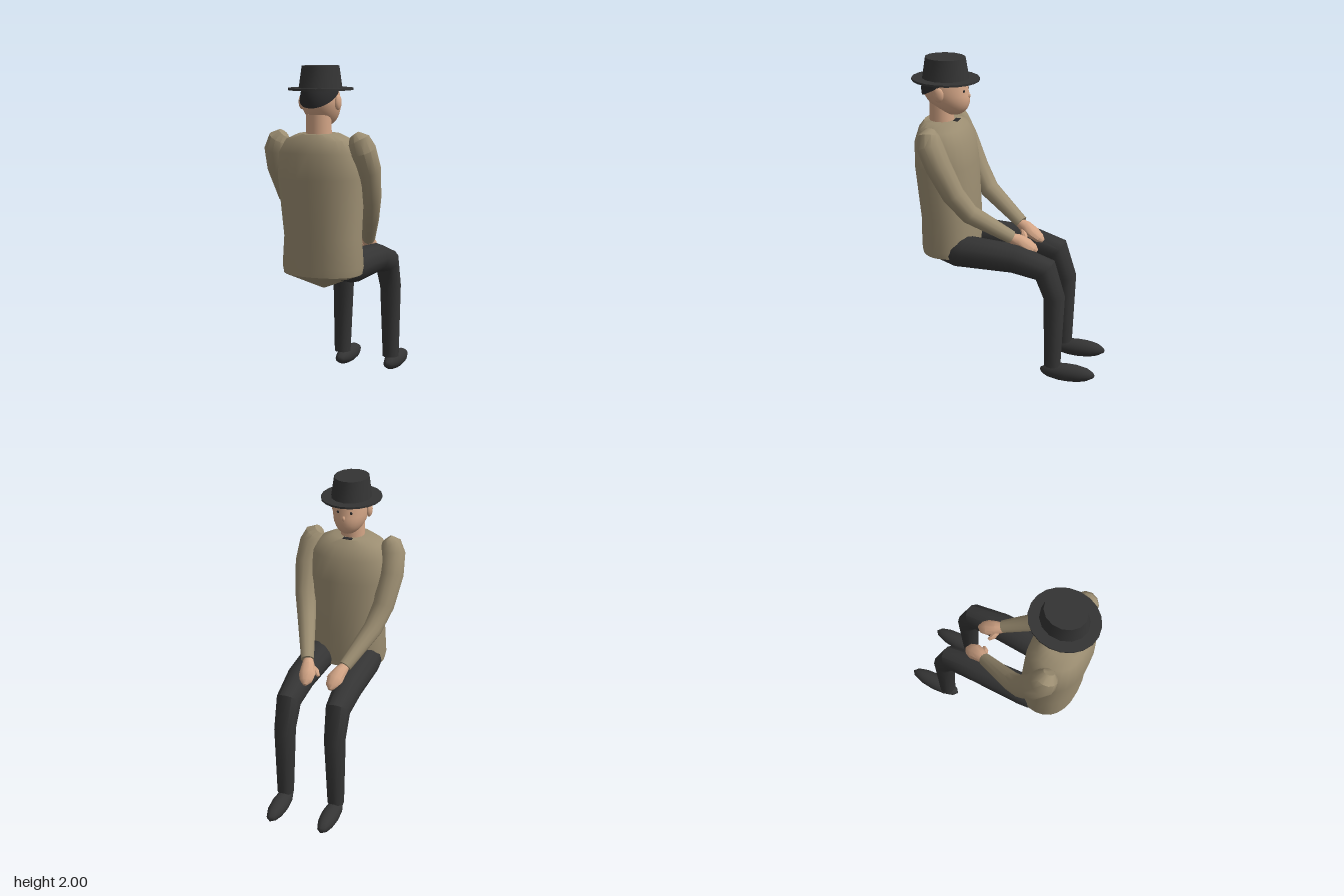
import * as THREE from 'three';
import { toCreasedNormals } from 'three/addons/utils/BufferGeometryUtils.js';

const material = (name, color) => {
  const m = new THREE.MeshStandardMaterial({ color });
  m.name = name;
  return m;
};

// Closed skin over elliptical sections [x, y, z, radiusU, radiusV] along a path
function loft(sections, { sides = 12, up = null, power = 1, crease = 0.7 } = {}) {
  const pts = sections.map(s => new THREE.Vector3(s[0], s[1], s[2]));
  const last = pts.length - 1;
  const pos = [], index = [];
  const bulge = v => Math.sign(v) * Math.abs(v) ** power;
  pts.forEach((p, i) => {
    const t = up ? up.clone()
      : pts[Math.min(i + 1, last)].clone().sub(pts[Math.max(i - 1, 0)]).normalize();
    const u = new THREE.Vector3(1, 0, 0).addScaledVector(t, -t.x).normalize();
    const v = t.clone().cross(u);
    const ru = sections[i][3], rv = sections[i][4] ?? ru;
    for (let j = 0; j < sides; j++) {
      const a = j / sides * Math.PI * 2;
      const q = p.clone().addScaledVector(u, ru * bulge(Math.cos(a)))
        .addScaledVector(v, rv * bulge(Math.sin(a)));
      pos.push(q.x, q.y, q.z);
    }
  });
  for (let i = 0; i < last; i++) for (let j = 0; j < sides; j++) {
    const k = (j + 1) % sides;
    const a = i * sides + j, b = i * sides + k, c = b + sides, d = a + sides;
    index.push(a, b, c, a, c, d);
  }
  // End caps
  const start = pos.length / 3;
  pos.push(...pts[0].toArray(), ...pts[last].toArray());
  for (let j = 0; j < sides; j++) {
    const k = (j + 1) % sides;
    index.push(start, k, j, start + 1, last * sides + j, last * sides + k);
  }
  const g = new THREE.BufferGeometry();
  g.setAttribute('position', new THREE.Float32BufferAttribute(pos, 3));
  g.setIndex(index);
  return toCreasedNormals(g, crease);
}

export function createModel() {
  const root = new THREE.Group();
  root.name = 'seatedMan';
  const coat = material('coat tan', 0x9b8d71);
  const skin = material('skin', 0xd3a586);
  const dark = material('dark cloth', 0x343434);
  const black = material('hair black', 0x2b2b2c);

  const add = (name, geometry, mat, x = 0, y = 0, z = 0) => {
    const m = new THREE.Mesh(geometry, mat);
    m.name = name;
    m.position.set(x, y, z);
    root.add(m);
    return m;
  };
  const ball = (rx, ry, rz, w = 16, h = 12) =>
    new THREE.SphereGeometry(1, w, h).scale(rx, ry, rz);

  // Torso, pointed below and sloping in to the neck
  add('torso', loft([
    [0, 0.68, 0.36, 0.004, 0.004],
    [0, 0.775, 0.368, 0.24, 0.176],
    [0, 0.82, 0.37, 0.248, 0.178],
    [0, 1.0, 0.37, 0.235, 0.18],
    [0, 1.35, 0.395, 0.262, 0.185],
    [0, 1.5, 0.405, 0.25, 0.172],
    [0, 1.575, 0.415, 0.2, 0.14],
    [0, 1.61, 0.42, 0.12, 0.11],
  ], { sides: 24, up: new THREE.Vector3(0, 1, 0), power: 0.88 }), coat);
  add('collarKnot', new THREE.BoxGeometry(0.06, 0.008, 0.03), black, 0, 1.609, 0.328);

  // Neck and head, with the chin pushed forward
  add('neck', new THREE.CylinderGeometry(0.073, 0.077, 0.16, 16), skin, 0, 1.64, 0.424);
  const headShape = ball(0.11, 0.155, 0.145, 24, 18);
  const hp = headShape.attributes.position;
  for (let i = 0; i < hp.count; i++) {
    const y = hp.getY(i);
    if (y < 0) hp.setZ(i, hp.getZ(i) + y * 0.35);
  }
  headShape.computeVertexNormals();
  add('head', headShape, skin, 0, 1.8, 0.4);
  add('nose', ball(0.012, 0.018, 0.018, 8, 6), skin, 0, 1.77, 0.256);

  // Hair: tilted cap over the back of the head
  const cap = new THREE.SphereGeometry(1, 24, 10, 0, Math.PI * 2, 0, 1.36);
  cap.rotateX(0.47).scale(0.113, 0.158, 0.148);
  const hair = black.clone();
  hair.side = THREE.DoubleSide;
  add('hair', cap, hair, 0, 1.8, 0.4);

  // Hat
  add('hatBrim', new THREE.CylinderGeometry(0.187, 0.187, 0.012, 20).scale(1, 1, 1.12),
    dark, 0, 1.866, 0.395);
  add('hatCrown', toCreasedNormals(
    new THREE.CylinderGeometry(0.108, 0.127, 0.135, 14).scale(1, 1, 1.16), 0.7),
  dark, 0, 1.9325, 0.395);

  for (const s of [1, -1]) {
    const side = s > 0 ? 'left' : 'right';
    const path = list => list.map(([x, ...rest]) => [x * s, ...rest]);

    // Face details
    add(side + 'Ear', ball(0.018, 0.045, 0.033, 10, 8), skin, 0.114 * s, 1.79, 0.405);
    add(side + 'Eye', ball(0.009, 0.009, 0.005, 8, 6), black, 0.042 * s, 1.805, 0.267);

    // Sleeve from shoulder to wrist
    add(side + 'Arm', loft(path([
      [0.225, 1.605, 0.425, 0.035],
      [0.25, 1.575, 0.425, 0.068],
      [0.268, 1.52, 0.415, 0.082],
      [0.281, 1.4, 0.36, 0.079],
      [0.262, 1.22, 0.275, 0.069],
      [0.222, 1.09, 0.185, 0.06],
      [0.125, 0.925, -0.05, 0.041],
    ])), coat);

    // Hand and thumb resting on the inner thigh
    add(side + 'Hand', loft(path([
      [0.123, 0.92, -0.04, 0.03],
      [0.108, 0.9, -0.085, 0.042],
      [0.092, 0.872, -0.14, 0.053, 0.038],
      [0.085, 0.845, -0.18, 0.04, 0.03],
      [0.083, 0.83, -0.203, 0.012],
    ]), { sides: 10 }), skin);
    add(side + 'Thumb', loft(path([
      [0.085, 0.89, -0.07, 0.016],
      [0.055, 0.872, -0.085, 0.02],
      [0.03, 0.85, -0.105, 0.01],
    ]), { sides: 8 }), skin);

    // Trouser leg from hip over the knee to the ankle
    add(side + 'Leg', loft(path([
      [0.15, 0.77, 0.45, 0.02],
      [0.153, 0.8, 0.31, 0.092],
      [0.153, 0.81, 0.24, 0.1],
      [0.16, 0.8, -0.08, 0.09],
      [0.162, 0.745, -0.275, 0.078, 0.084],
      [0.165, 0.57, -0.335, 0.068],
      [0.171, 0.1, -0.33, 0.053],
    ])), dark);

    // Shoe
    add(side + 'Shoe', ball(0.056, 0.057, 0.178, 12, 10), dark, 0.17 * s, 0.057, -0.427);
  }
  return root;
}
